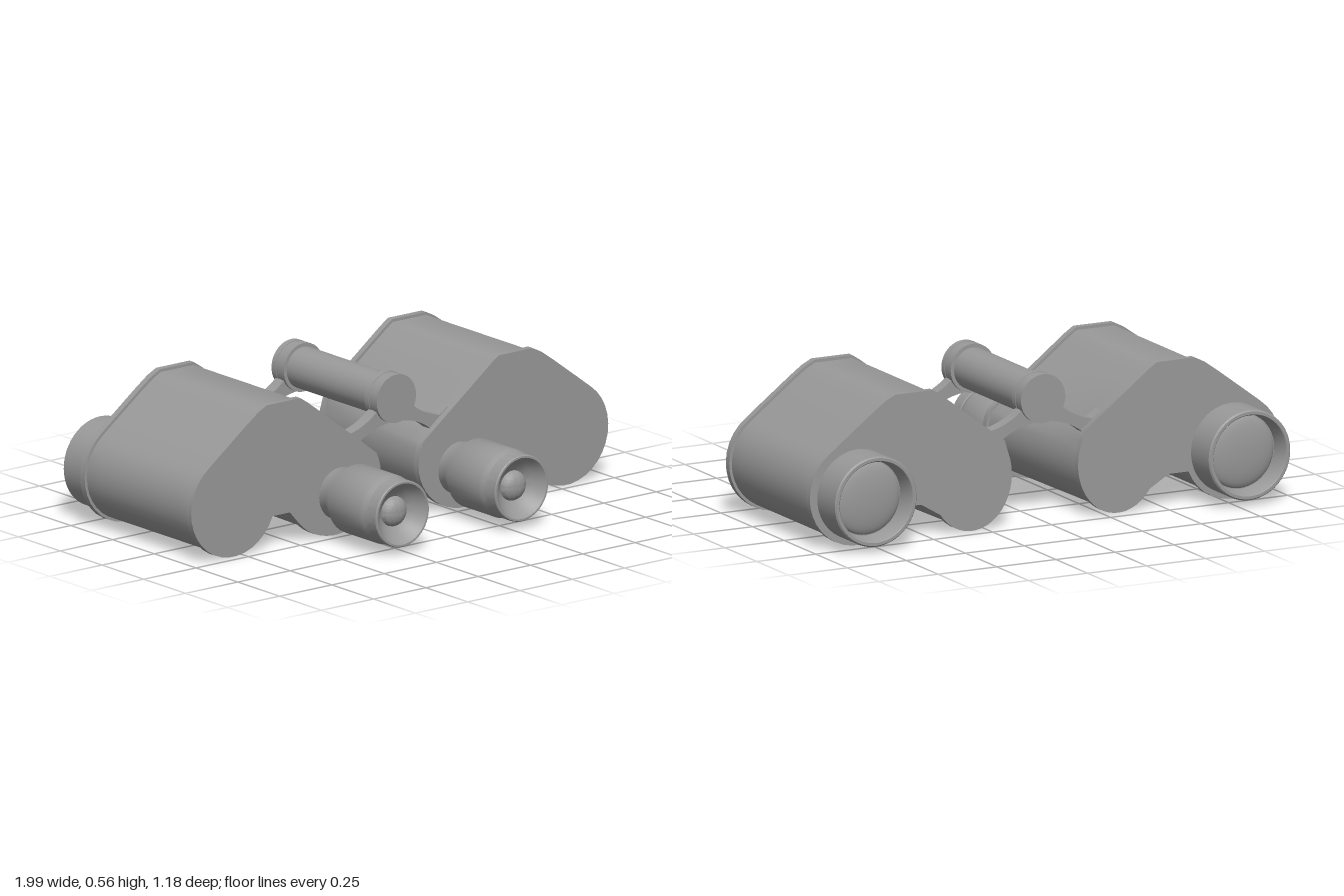
import * as THREE from 'three';
import { toCreasedNormals } from 'three/addons/utils/BufferGeometryUtils.js';

const material = new THREE.MeshStandardMaterial({ color: 0x999999, side: THREE.DoubleSide });
const V = (x, y) => new THREE.Vector2(x, y);

function add(group, name, geometry, crease = 0.6) {
  const mesh = new THREE.Mesh(toCreasedNormals(geometry, crease), material);
  mesh.name = name;
  group.add(mesh);
  return mesh;
}

// Turned part along z; profile points are [radius, z]
function turned(points) {
  return new THREE.LatheGeometry(points.map(([r, z]) => V(r, z)), 48).rotateX(Math.PI / 2);
}

function arc(cx, cy, rx, ry, from, to, n = 20) {
  return Array.from({ length: n + 1 }, (_, i) => {
    const a = THREE.MathUtils.degToRad(from + (to - from) * i / n);
    return V(cx + rx * Math.cos(a), cy + ry * Math.sin(a));
  });
}

// Two-lobed housing outline, counter-clockwise for either side
function outline(side, eyeRadius, inset = 0) {
  const p = [
    ...arc(0.795, 0.2, 0.202, 0.2, 202, 414),
    V(0.86, 0.403), V(0.73, 0.501), V(0.675, 0.54), V(0.635, 0.56),
    V(0.475, 0.56), V(0.44, 0.537), V(0.39, 0.499), V(0.17, 0.331),
    ...arc(0.31, 0.2, eyeRadius, 0.2, 155, 322),
    V(0.525, 0.125), V(0.598, 0.125),
  ];
  const q = p.map((v, i) => {
    const a = p[(i + p.length - 1) % p.length], b = p[(i + 1) % p.length];
    const t = b.clone().sub(a).normalize();
    return V(side * (v.x - t.y * inset), v.y + t.x * inset);
  });
  return side < 0 ? q.reverse() : q;
}

// Tapered skin between the rear and front outlines
function loft(rear, front, z0, z1, steps = 8) {
  const n = rear.length, pos = [], index = [];
  for (let k = 0; k <= steps; k++) {
    for (let i = 0; i < n; i++) {
      const v = rear[i].clone().lerp(front[i], k / steps);
      pos.push(v.x, v.y, z0 + (z1 - z0) * k / steps);
      if (k === steps) continue;
      const a = k * n + i, b = k * n + (i + 1) % n;
      index.push(a, b, b + n, a, b + n, a + n);
    }
  }
  const g = new THREE.BufferGeometry();
  g.setAttribute('position', new THREE.Float32BufferAttribute(pos, 3));
  g.setIndex(index);
  return g;
}

function extrude(shape, z, depth) {
  return new THREE.ExtrudeGeometry(shape, { depth, bevelEnabled: false, curveSegments: 16 }).translate(0, 0, z);
}

// Domed lens as profile points, from rim to centre
function dome(radius, z, height) {
  return Array.from({ length: 9 }, (_, i) => {
    const a = i / 8 * Math.PI / 2;
    return [radius * Math.cos(a), z + height * Math.sin(a)];
  });
}

function createHalf(side) {
  const half = new THREE.Group();
  half.name = side > 0 ? 'leftHalf' : 'rightHalf';
  const FRONT = 0.22, REAR = 0.17;

  add(half, 'prismHousing', loft(outline(side, REAR, 0.011), outline(side, FRONT, 0.011), -0.43, 0.2), 1);
  add(half, 'frontPlate', extrude(new THREE.Shape(outline(side, FRONT)), 0.19, 0.027), 1);
  add(half, 'rearPlate', extrude(new THREE.Shape(outline(side, REAR)), -0.447, 0.026), 1);

  // Eyepiece with funnel-shaped cup and small lens
  add(half, 'eyepiece', turned([
    [0.1, 0.2], [0.1, 0.255], [0.133, 0.312], [0.133, 0.5], [0.131, 0.512], [0.124, 0.533],
    [0.128, 0.535], [0.128, 0.588], [0.125, 0.592], [0.118, 0.592], [0.108, 0.578],
    [0.085, 0.552], [0.058, 0.535], ...dome(0.058, 0.535, 0.035),
  ])).position.set(side * 0.285, 0.158, 0);

  // Objective barrel with recessed lens
  add(half, 'objective', turned([
    ...dome(0.142, -0.51, -0.03).reverse(),
    [0.145, -0.51], [0.153, -0.587], [0.157, -0.592], [0.168, -0.592], [0.173, -0.586],
    [0.173, -0.44],
  ])).position.set(side * 0.792, 0.196, 0);

  // Curved arms from the hinge down onto the housing
  const arm = new THREE.Shape();
  arm.moveTo(0, 0.45);
  arm.lineTo(side * 0.075, 0.44);
  arm.quadraticCurveTo(side * 0.13, 0.385, side * 0.215, 0.367);
  arm.lineTo(side * 0.255, 0.394);
  arm.lineTo(side * 0.25, 0.31);
  arm.lineTo(side * 0.185, 0.31);
  arm.quadraticCurveTo(side * 0.12, 0.375, 0, 0.38);
  add(half, 'frontArm', extrude(arm, 0.135, 0.05));
  add(half, 'rearArm', extrude(arm, -0.42, 0.05));
  return half;
}

export function createModel() {
  const model = new THREE.Group();
  model.name = 'binoculars';
  model.add(createHalf(1), createHalf(-1));

  // Central hinge: tube with a knuckle at each end
  const hinge = new THREE.Group();
  hinge.name = 'hinge';
  hinge.position.y = 0.47;
  add(hinge, 'hingeTube', turned([[0.08, -0.4], [0.08, 0.15]]));
  for (const [name, z] of [['frontKnuckle', 0.16], ['rearKnuckle', -0.396]]) {
    add(hinge, name, turned([
      [0, -0.037], [0.094, -0.037], [0.094, -0.012], [0.092, -0.012],
      [0.092, 0.012], [0.094, 0.012], [0.094, 0.037], [0, 0.037],
    ])).position.z = z;
  }
  model.add(hinge);
  return model;
}
